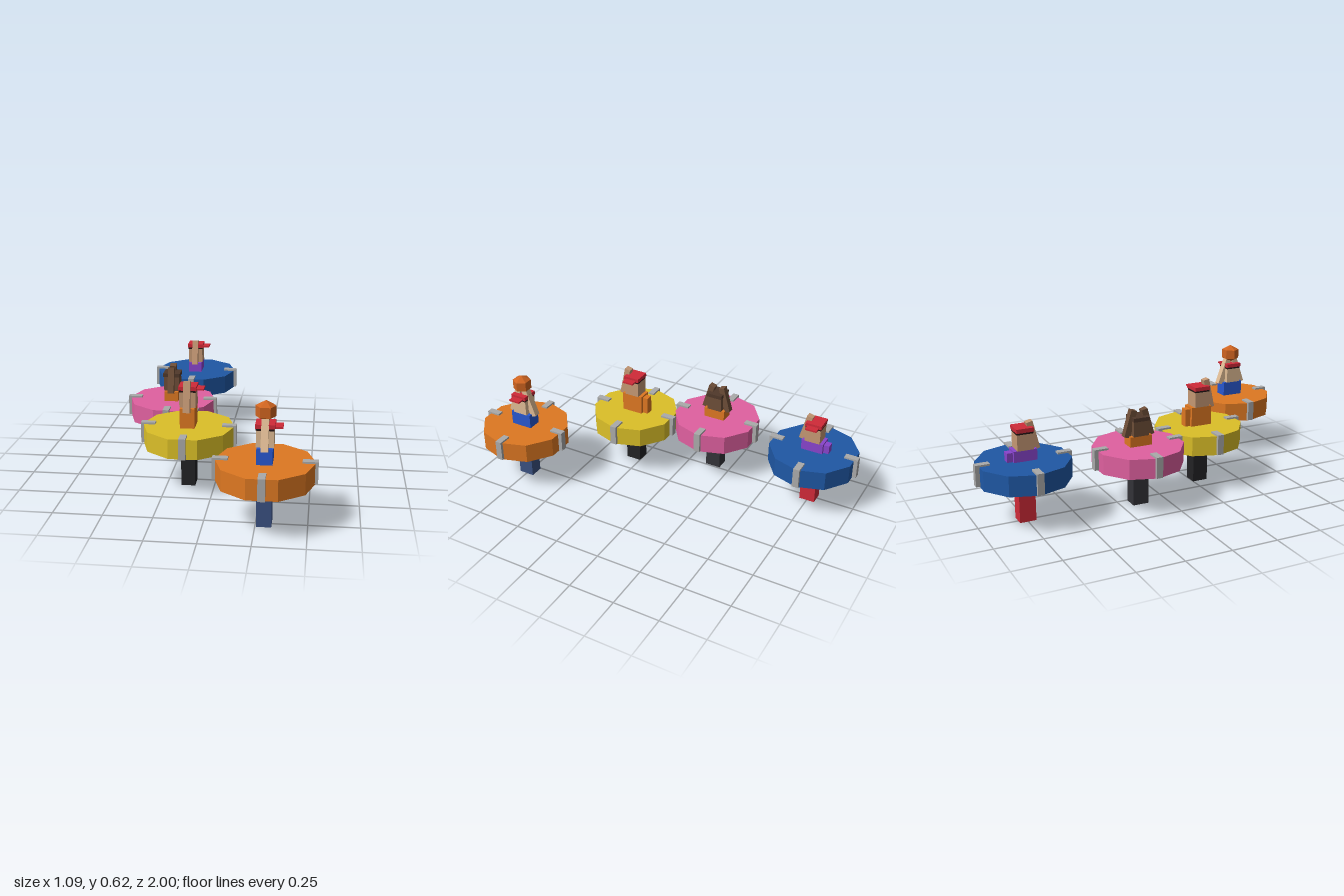
import * as THREE from 'three';

const mat = (color) => new THREE.MeshStandardMaterial({ color, flatShading: true });

function add(parent, name, geometry, material, x = 0, y = 0, z = 0) {
  const mesh = new THREE.Mesh(geometry, material);
  mesh.name = name;
  mesh.position.set(x, y, z);
  parent.add(mesh);
  return mesh;
}
const box = (parent, name, size, material, x, y, z) =>
  add(parent, name, new THREE.BoxGeometry(...size), material, x, y, z);

const grey = mat(0xaaaaaa);
const red = mat(0xd02a38);
const dark = mat(0x241414);
const ballOrange = mat(0xcf6420);

// Ten-sided float with four grey clips hooked over its rim
function makeFloat(color) {
  const float = new THREE.Group();
  float.name = 'float';
  add(float, 'floatDisc',
    new THREE.CylinderGeometry(0.24, 0.24, 0.105, 10, 1, false, Math.PI / 2), mat(color), 0, 0.27, 0);
  for (let i = 0; i < 4; i++) {
    const clip = new THREE.Group();
    clip.name = 'clip';
    clip.rotation.y = i * Math.PI / 2;
    box(clip, 'clipTop', [0.075, 0.01, 0.035], grey, 0.2125, 0.327, 0);
    box(clip, 'clipSide', [0.024, 0.11, 0.035], grey, 0.238, 0.277, 0);
    float.add(clip);
  }
  return float;
}

// Cap with a brim towards +x
function addCap(person, y) {
  box(person, 'hair', [0.086, 0.009, 0.086], dark, 0, y + 0.0045, 0);
  box(person, 'capCrown', [0.092, 0.021, 0.09], red, 0, y + 0.0195, 0);
  box(person, 'capBrim', [0.04, 0.009, 0.064], red, 0.063, y + 0.0135, 0);
}

// Person facing +x, standing through the float
function makePerson(p) {
  const person = new THREE.Group();
  person.name = 'person';
  const top = p.shoulder;
  const skin = mat(p.skin), shirt = mat(p.shirt);
  box(person, 'legs', [0.073, 0.3, 0.086], mat(p.legs), 0, 0.15, 0);
  box(person, 'torso', [0.076, top - 0.28, 0.12], shirt, 0, (top + 0.28) / 2, 0);
  box(person, 'head', [0.084, 0.084, 0.084], skin, 0, top + 0.042, 0);
  if (p.cap) addCap(person, top + 0.083);
  else box(person, 'hair', [0.094, 0.02, 0.09], mat(0x50382a), 0, top + 0.09, 0);

  // Raised arms lean in over the head; a single-arm wave leaves the other down
  for (const side of [1, -1]) {
    if (side === 1 || p.bothArms) {
      const arm = box(person, 'raisedArm', [0.035, p.armLength, 0.033], skin,
        0, top + 0.063, side * p.armOffset);
      arm.rotation.x = -side * p.tilt;
    } else {
      box(person, 'loweredArm', [0.042, 0.13, 0.031], shirt, 0, top - 0.075, -0.0745);
    }
  }

  // Low-poly ball held overhead
  if (p.ball) {
    const ball = add(person, 'ball', new THREE.SphereGeometry(0.051, 6, 3), ballOrange, 0, 0.57, 0);
    ball.scale.set(1.1, 1, 1.1);
  }
  return person;
}

const people = [
  { x: -0.243, z: -0.75, float: 0x1f58a5, legs: 0xd02a38, shirt: 0x8844cc, skin: 0xc59874,
    shoulder: 0.38, cap: true, armLength: 0.147, armOffset: 0.05, tilt: 0.24 },
  { x: -0.293, z: -0.148, float: 0xe060a0, legs: 0x333338, shirt: 0xde7822, skin: 0x6e4e38,
    shoulder: 0.377, bothArms: true, armLength: 0.145, armOffset: 0.049, tilt: 0.28 },
  { x: -0.137, z: 0.292, float: 0xdcc028, legs: 0x222225, shirt: 0xde7822, skin: 0xc59874,
    shoulder: 0.428, cap: true, armLength: 0.162, armOffset: 0.056, tilt: 0.22 },
  { x: 0.292, z: 0.75, float: 0xde7822, legs: 0x3a5080, shirt: 0x2858d0, skin: 0xe0bc94,
    shoulder: 0.402, cap: true, bothArms: true, ball: true, armLength: 0.156, armOffset: 0.045, tilt: 0.34 },
];

export function createModel() {
  const model = new THREE.Group();
  model.name = 'floatingPeople';
  for (const p of people) {
    const rider = new THREE.Group();
    rider.name = 'rider';
    rider.position.set(p.x, 0, p.z);
    rider.add(makeFloat(p.float), makePerson(p));
    model.add(rider);
  }
  return model;
}
